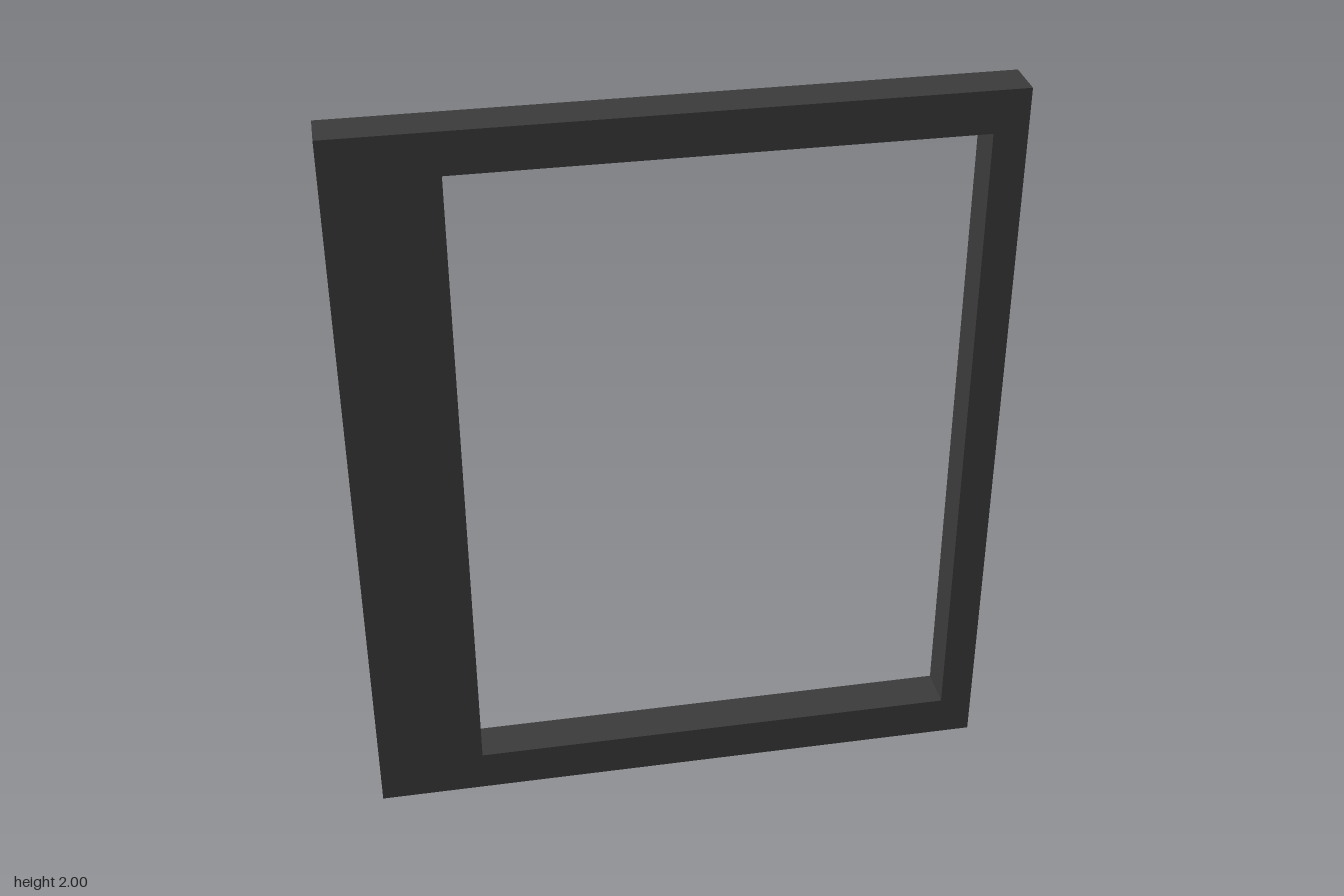
import * as THREE from 'three';

// Adds a rectangle outline to a shape or path
function rect(path, x0, y0, x1, y1) {
  path.moveTo(x0, y0);
  path.lineTo(x1, y0);
  path.lineTo(x1, y1);
  path.lineTo(x0, y1);
  path.closePath();
  return path;
}

export function createModel() {
  const group = new THREE.Group();
  group.name = 'windowFrame';
  const depth = 0.114;

  // Flat frame with a wide right stile and an off-centre opening
  const outline = rect(new THREE.Shape(), -0.85, 0, 0.85, 2);
  outline.holes.push(rect(new THREE.Path(), -0.565, 0.115, 0.762, 1.888));

  const geometry = new THREE.ExtrudeGeometry(outline, { depth, bevelEnabled: false });
  geometry.translate(0, 0, -depth / 2);

  const frame = new THREE.Mesh(geometry, new THREE.MeshStandardMaterial({ color: 0x3c3c3c }));
  frame.name = 'frame';
  group.add(frame);
  return group;
}
